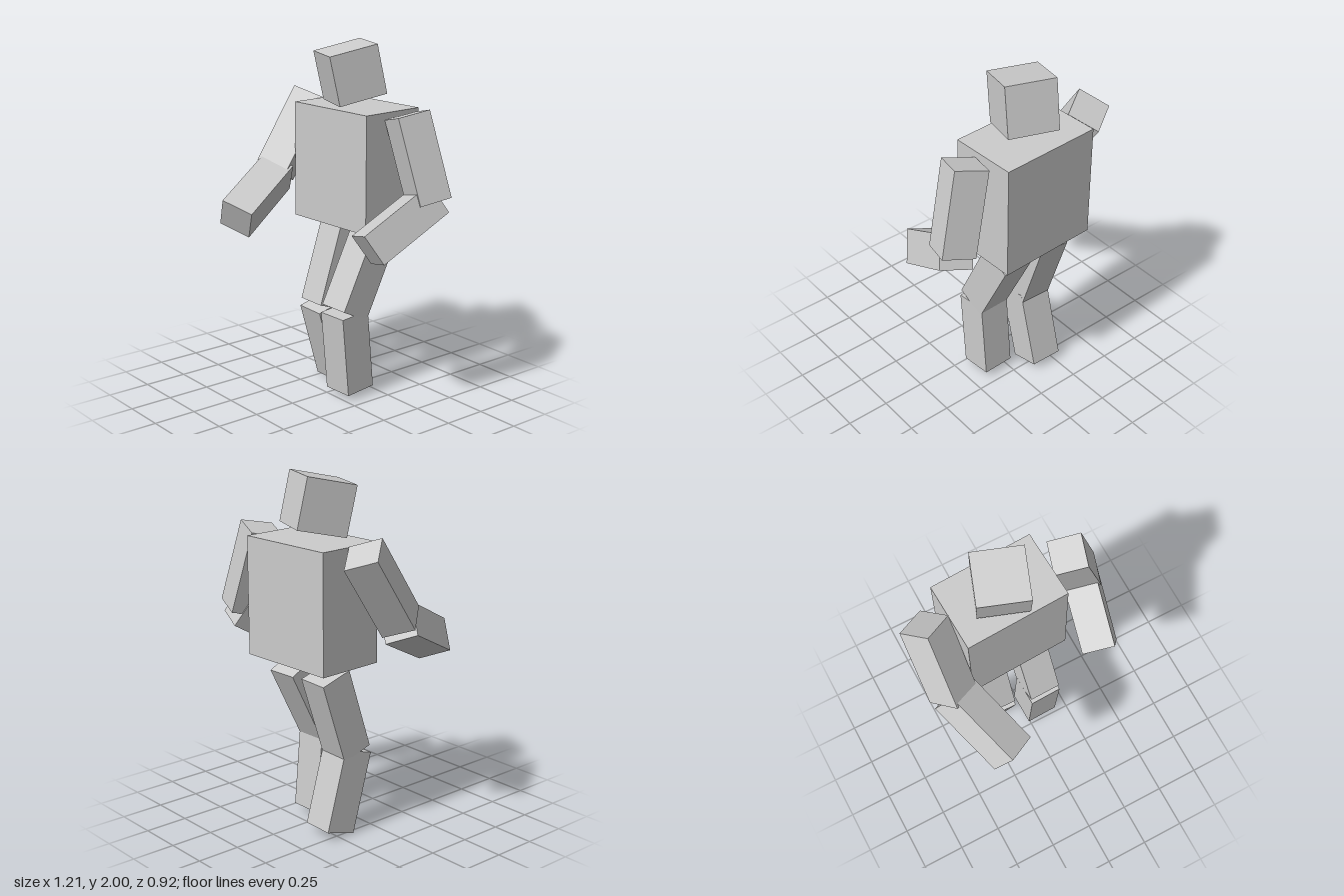
import * as THREE from 'three';

const material = new THREE.MeshStandardMaterial({ color: 0xcccccc, flatShading: true });
const LIMB = 0.188; // square limb section
const UPPER = 0.486;
const LOWER = 0.467;

function block(name, size, position) {
  const mesh = new THREE.Mesh(new THREE.BoxGeometry(...size), material);
  mesh.name = name;
  mesh.position.set(...position);
  return mesh;
}

// Square bar running from the centre of one end along a direction, rolled to face its side direction
function limb(name, end, direction, sideways, length) {
  const y = new THREE.Vector3(...direction).normalize();
  const z = new THREE.Vector3(...sideways).cross(y).normalize();
  const x = new THREE.Vector3().crossVectors(y, z);
  const mesh = block(name, [LIMB, length, LIMB], end);
  mesh.position.addScaledVector(y, length / 2);
  mesh.quaternion.setFromRotationMatrix(new THREE.Matrix4().makeBasis(x, y, z));
  return mesh;
}

export function createModel() {
  const model = new THREE.Group();
  model.name = 'blockFigure';

  // Torso, turned slightly
  const torso = block('torso', [0.595, 0.662, 0.393], [-0.053, 1.318, -0.252]);
  torso.rotation.y = 0.044;

  // Head, turned to its right and looking down
  const head = block('head', [0.28, 0.282, 0.282], [-0.062, 1.834, -0.215]);
  head.rotation.set(0.213, -0.346, 0, 'YXZ');
  model.add(torso, head);

  // Upper parts start at the shoulder or hip, lower parts at the hand or foot
  const limbs = [
    ['rightUpperArm', [-0.479, 1.637, -0.271], [0.008, -0.828, 0.56], [0.155, -0.058, -0.088], UPPER],
    ['rightForearm', [-0.325, 1.036, 0.39], [-0.313, 0.414, -0.856], [0.157, -0.067, -0.09], LOWER],
    ['leftUpperArm', [0.356, 1.647, -0.266], [0.13, -0.468, -0.052], [0.171, 0.038, 0.056], UPPER],
    ['leftForearm', [0.411, 0.961, 0.05], [0.151, 0.508, -0.849], [0.174, 0.045, 0.058], LOWER],
    ['rightThigh', [-0.185, 0.929, -0.274], [0, -0.95, 0.31], [1, 0, 0.03], UPPER],
    ['rightShin', [-0.185, 0.026, -0.243], [0, 0.962, 0.274], [1, 0, 0.03], LOWER],
    ['leftThigh', [0.08, 0.933, -0.281], [0, -0.434, 0.216], [1, 0, -0.03], UPPER],
    ['leftShin', [0.08, 0.038, -0.107], [0, 0.465, 0.043], [1, 0, -0.03], LOWER],
  ];
  for (const spec of limbs) model.add(limb(...spec));

  return model;
}
